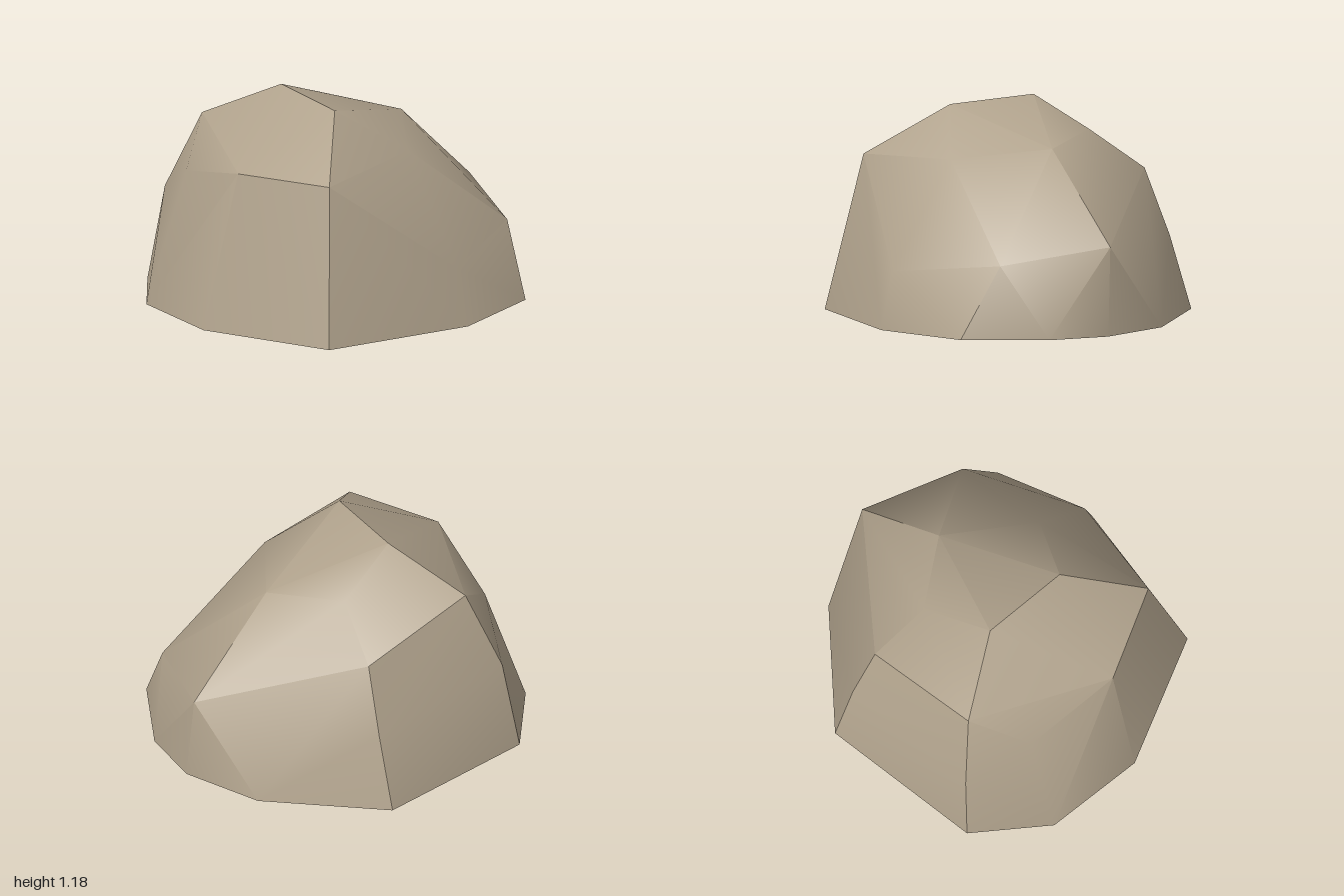
import * as THREE from 'three';
import { ConvexGeometry } from 'three/addons/geometries/ConvexGeometry.js';
import { toCreasedNormals } from 'three/addons/utils/BufferGeometryUtils.js';

// Ground outline of the boulder
const base = [
  [-0.96, 0, 0.47], [-0.65, 0, 0.84], [-0.10, 0, 1.0], [0.665, 0, 0.83], [0.96, 0, 0],
  [0.88, 0, -0.58], [0.51, 0, -0.90], [0.17, 0, -1.0], [-0.29, 0, -0.91], [-0.885, 0, -0.46],
];

// Corners of the sides
const sides = [
  [-0.885, 0.535, 0.41], [-0.705, 0.97, 0.305], [-0.55, 0.74, 0.62], [-0.02, 0.87, 0.80],
  [0.525, 0.87, 0.665], [0.88, 0.32, 0], [0.67, 0.40, -0.67], [0.135, 0.49, -0.975],
  [-0.755, 0.42, -0.43], [-0.62, 0.80, -0.375],
];

// Sloping top facet
const crown = [
  [-0.265, 1.185, 0.15], [0.23, 1.16, 0.275], [0.495, 0.91, -0.04], [0.10, 0.975, -0.44], [-0.32, 1.03, -0.255],
];

// Keep every triangle except those lying on the ground
function openBottom(geometry) {
  const p = geometry.attributes.position;
  const kept = [];
  for (let i = 0; i < p.count; i += 3) {
    if (Math.max(p.getY(i), p.getY(i + 1), p.getY(i + 2)) < 0.001) continue;
    for (let j = i; j < i + 3; j++) kept.push(p.getX(j), p.getY(j), p.getZ(j));
  }
  const open = new THREE.BufferGeometry();
  open.setAttribute('position', new THREE.Float32BufferAttribute(kept, 3));
  return open;
}

export function createModel() {
  const group = new THREE.Group();
  group.name = 'boulder';

  const stone = new THREE.MeshStandardMaterial({ color: 0xb0a28c, side: THREE.DoubleSide });
  stone.name = 'stone';

  // Faceted shell, open underneath, with only the sharper edges creased
  const points = [...base, ...sides, ...crown].map((p) => new THREE.Vector3(...p));
  const shell = toCreasedNormals(openBottom(new ConvexGeometry(points)), THREE.MathUtils.degToRad(35));
  const rock = new THREE.Mesh(shell, stone);
  rock.name = 'rockShell';
  group.add(rock);

  return group;
}
